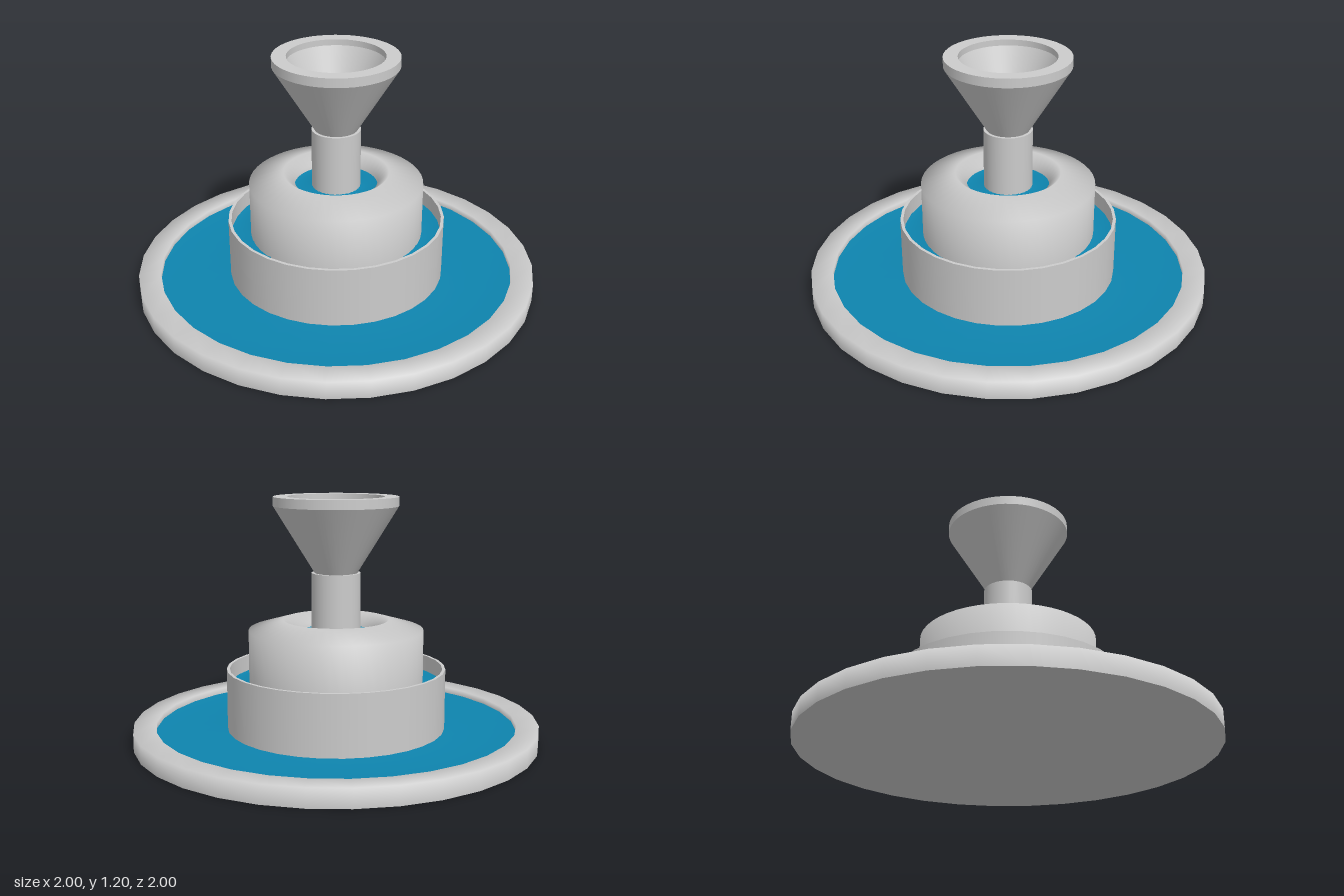
import * as THREE from 'three';

const stone = new THREE.MeshStandardMaterial({ color: 0xcccccc });
const water = new THREE.MeshStandardMaterial({ color: 0x0e84ae });

export function createModel() {
  const group = new THREE.Group();

  // Turned part from [radius, height] points; a repeated point makes a crease
  const turn = (name, profile, sides, material = stone) => {
    const points = profile.map(([r, y]) => new THREE.Vector2(r, y));
    const mesh = new THREE.Mesh(new THREE.LatheGeometry(points, sides), material);
    mesh.name = name;
    group.add(mesh);
  };

  // Crisp version: every inner profile point is doubled
  const crisp = (profile) =>
    profile.flatMap((p, i) => (i > 0 && i < profile.length - 1 ? [p, p] : [p]));

  // Water sheet whose shading bends softly into the walls beside it
  const pool = (name, outer, inner, y, sides) =>
    turn(name, [[outer, y + 0.02], [outer, y], [inner, y], [inner, y + 0.02]].map(
      ([r, h], i) => [i === 0 ? r + 0.004 : i === 3 ? r - 0.004 : r, h]), sides, water);

  // Wide basin with a soft rim and flat underside
  turn('basin', [[0, 0], [1, 0], [1, 0], [1, 0.09], [0.89, 0.09], [0.89, 0.05]], 32);
  pool('basinWater', 0.89, 0.54, 0.06, 32);

  // Thin-walled middle ring
  turn('middleRing', crisp([[0.54, 0.04], [0.54, 0.36], [0.525, 0.36], [0.525, 0.24]]), 32);
  pool('middleWater', 0.525, 0.43, 0.28, 32);

  // Rounded upper bowl with an opening around the column
  turn('upperBowl', [[0.43, 0.24], [0.43, 0.55], [0.26, 0.6], [0.205, 0.55], [0.205, 0.48]], 48);
  pool('upperWater', 0.205, 0.12, 0.53, 48);

  // Column with a capped top
  turn('column', crisp([[0.12, 0.48], [0.12, 0.83], [0, 0.83]]), 32);

  // Funnel with a thick flat lip
  turn('funnel', crisp([
    [0.075, 0.83], [0.105, 0.83], [0.305, 1.155], [0.305, 1.2],
    [0.235, 1.2], [0.235, 1.17], [0.09, 0.86], [0.075, 0.835],
  ]), 48);

  return group;
}
